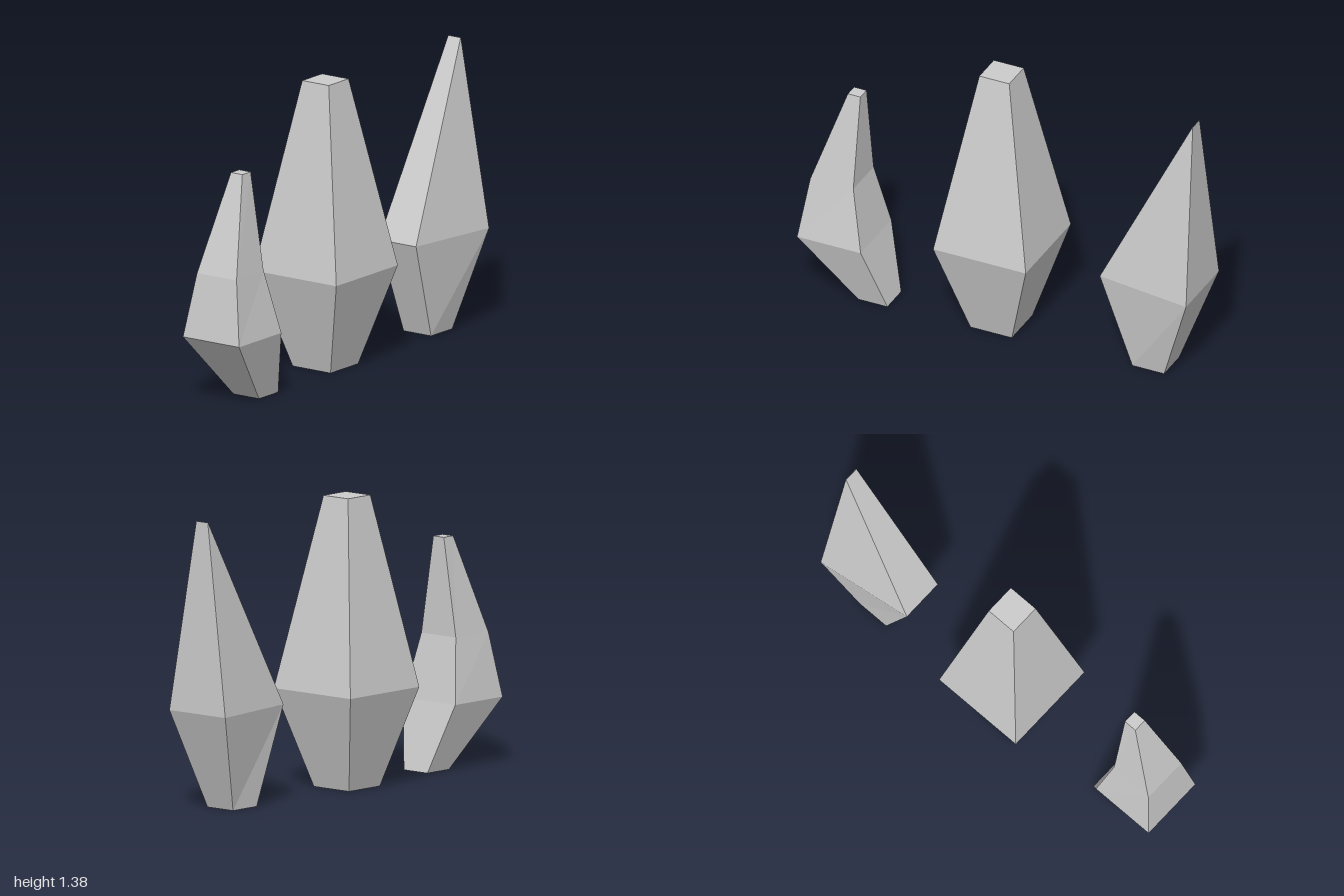
import * as THREE from 'three';

// Four-sided crystal lofted through rings: [y, zBack, zFront, halfWidthBack, halfWidthFront]
function crystal(name, cx, rings) {
  const positions = [];
  const index = [];
  for (const [y, zb, zf, wb, wf] of rings) {
    positions.push(cx - wf, y, zf, cx + wf, y, zf, cx + wb, y, zb, cx - wb, y, zb);
  }
  const quad = (a, b, c, d) => index.push(a, b, c, a, c, d);

  // Side facets
  for (let r = 0; r < rings.length - 1; r++) {
    for (let i = 0; i < 4; i++) {
      const j = (i + 1) % 4;
      quad(r * 4 + i, r * 4 + j, r * 4 + 4 + j, r * 4 + 4 + i);
    }
  }
  // Bottom and top caps
  quad(3, 2, 1, 0);
  const t = (rings.length - 1) * 4;
  quad(t, t + 1, t + 2, t + 3);

  const indexed = new THREE.BufferGeometry();
  indexed.setAttribute('position', new THREE.Float32BufferAttribute(positions, 3));
  indexed.setIndex(index);
  const geometry = indexed.toNonIndexed();
  geometry.computeVertexNormals();
  const material = new THREE.MeshStandardMaterial({ color: 0xcccccc, flatShading: true });
  const mesh = new THREE.Mesh(geometry, material);
  mesh.name = name;
  return mesh;
}

export function createModel() {
  const group = new THREE.Group();
  group.name = 'crystals';

  // Small bent crystal at the front
  group.add(crystal('frontCrystal', 0.048, [
    [0, 0.575, 0.725, 0.074, 0.074],
    [0.32, 0.67, 1, 0.163, 0.163],
    [0.625, 0.735, 0.955, 0.108, 0.115],
    [1.09, 0.735, 0.8, 0.033, 0.033],
  ]));

  // Large upright crystal
  group.add(crystal('middleCrystal', 0, [
    [0, -0.065, 0.15, 0.11, 0.11],
    [0.467, -0.2, 0.28, 0.24, 0.24],
    [1.375, -0.035, 0.12, 0.077, 0.077],
  ]));

  // Leaning crystal at the back, ending in a sharp ridge
  group.add(crystal('backCrystal', 0, [
    [0, -0.84, -0.675, 0.08, 0.08],
    [0.467, -1, -0.52, 0.175, 0.108],
    [1.37, -0.967, -0.965, 0.036, 0.036],
  ]));

  return group;
}
